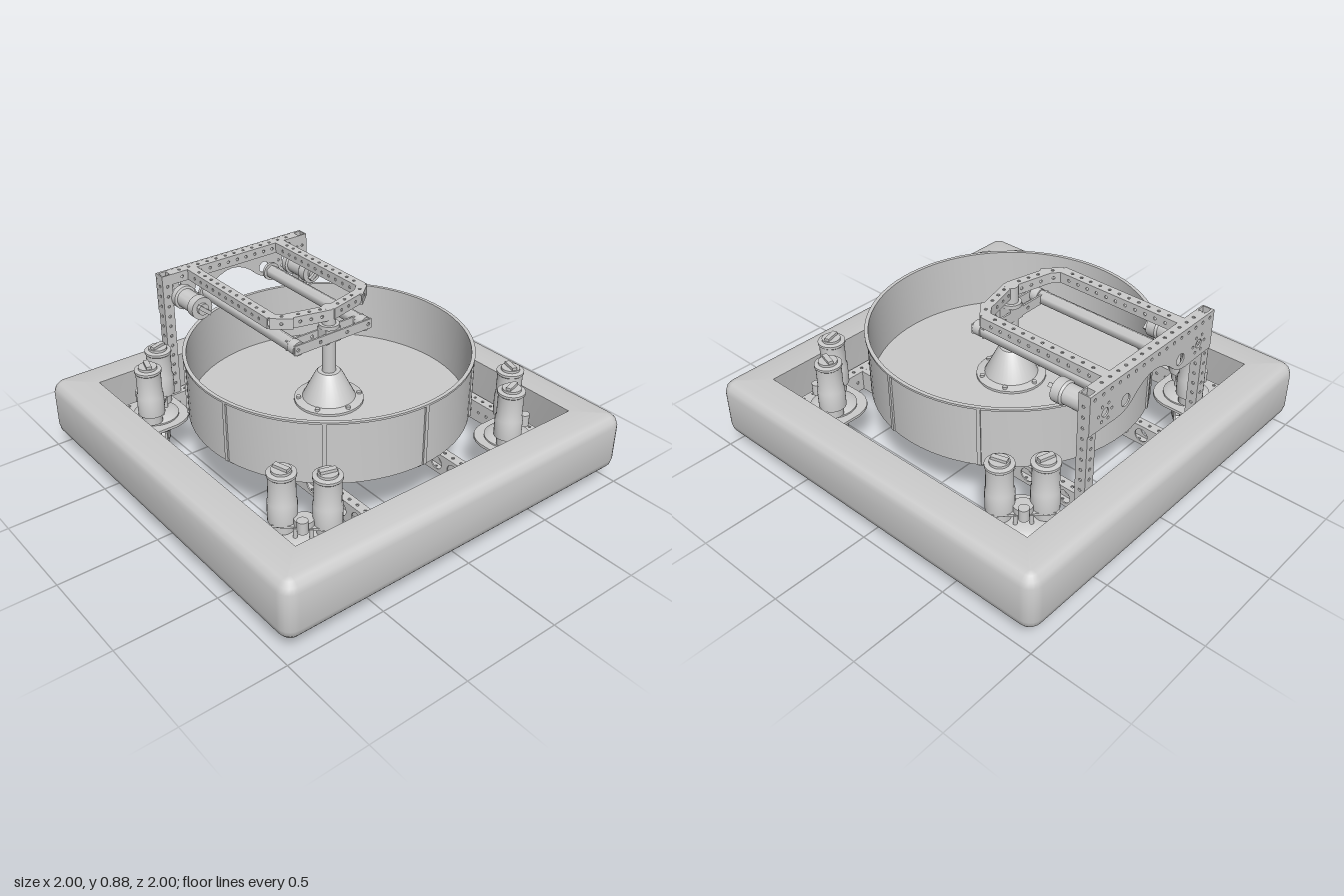
import * as THREE from 'three';
import { mergeGeometries, mergeVertices, toCreasedNormals } from 'three/addons/utils/BufferGeometryUtils.js';

const grey = new THREE.MeshStandardMaterial({ color: 0xcccccc, side: THREE.DoubleSide });
const V2 = (p) => new THREE.Vector2(p[0], p[1]);

function add(parent, name, geo, x = 0, y = 0, z = 0) {
  const m = new THREE.Mesh(geo, grey);
  m.name = name;
  m.position.set(x, y, z);
  parent.add(m);
  return m;
}
const box = (w, h, d) => new THREE.BoxGeometry(w, h, d);
const cyl = (r, h, n = 24, r2 = r) => new THREE.CylinderGeometry(r2, r, h, n);
const lathe = (pts, n = 28) => toCreasedNormals(new THREE.LatheGeometry(pts.map(V2), n), 0.6);

// Extrude a shape, centred on its thickness, with round holes [x, y, r]
function extrude(shape, t, holes = [], seg = 3) {
  for (const [x, y, r] of holes) {
    const p = new THREE.Path();
    p.absarc(x, y, r, 0, Math.PI * 2, true);
    shape.holes.push(p);
  }
  return new THREE.ExtrudeGeometry(shape, { depth: t, bevelEnabled: false, curveSegments: seg }).translate(0, 0, -t / 2);
}
function plate(w, h, t, holes = [], seg = 4) {
  const pts = [[-w / 2, -h / 2], [w / 2, -h / 2], [w / 2, h / 2], [-w / 2, h / 2]];
  return extrude(new THREE.Shape(pts.map(V2)), t, holes, seg);
}
function holeRow(len, r, pitch) {
  const n = Math.max(1, Math.floor((len - pitch * 0.6) / pitch));
  return Array.from({ length: n }, (_, i) => [(i - (n - 1) / 2) * pitch, 0, r]);
}
// Hollow punched tube along x
function tubeGeo(len, w, h, sideR = 0.008, sidePitch = 0.055) {
  const t = 0.007, parts = [];
  for (const s of [-1, 1]) {
    parts.push(plate(len, h, t, holeRow(len, sideR, sidePitch), sideR > 0.02 ? 10 : 4).translate(0, 0, s * (w - t) / 2));
    parts.push(plate(len, w, t, holeRow(len, 0.008, 0.055)).rotateX(Math.PI / 2).translate(0, s * (h - t) / 2, 0));
  }
  return mergeGeometries(parts);
}
// Level punched tube between two points in plan
function rail(parent, name, x1, z1, x2, z2, y, w, h, r, pitch) {
  const m = add(parent, name, tubeGeo(Math.hypot(x2 - x1, z2 - z1), w, h, r, pitch), (x1 + x2) / 2, y, (z1 + z2) / 2);
  m.rotation.y = -Math.atan2(z2 - z1, x2 - x1);
  return m;
}

// Bumper: rounded square rings swept through a cross-section
function bumperGeo() {
  const prof = [[0.815, 0.1], [0.95, 0.09], [0.975, 0.098], [0.993, 0.12], [1, 0.15],
    [1, 0.335], [0.99, 0.362], [0.97, 0.382], [0.945, 0.39], [0.815, 0.39]];
  const pos = [], idx = [], steps = 6, n = steps * 4;
  for (const [half, y] of prof) {
    const r = Math.max(0.003, half - 0.935);
    for (let c = 0; c < 4; c++) for (let i = 0; i < steps; i++) {
      const a = (c + i / (steps - 1)) * Math.PI / 2, k = c * Math.PI / 2 + Math.PI / 4;
      pos.push(Math.sign(Math.cos(k)) * (half - r) + r * Math.cos(a), y, Math.sign(Math.sin(k)) * (half - r) + r * Math.sin(a));
    }
  }
  for (let j = 0; j < prof.length; j++) for (let i = 0; i < n; i++) {
    const k = (j + 1) % prof.length, a = j * n + i, b = j * n + (i + 1) % n, c = k * n + i, d = k * n + (i + 1) % n;
    idx.push(a, c, b, b, c, d);
  }
  const g = new THREE.BufferGeometry();
  g.setAttribute('position', new THREE.Float32BufferAttribute(pos, 3));
  g.setIndex(idx);
  return toCreasedNormals(mergeVertices(g, 1e-5), 0.6);
}

// Steered drive module; local z points outward along the diagonal
function driveModule() {
  const g = new THREE.Group();
  const s = new THREE.Shape();
  s.moveTo(0.165, 0.165); s.lineTo(-0.155, 0.165); s.lineTo(-0.155, -0.03);
  s.quadraticCurveTo(-0.14, -0.14, -0.03, -0.155); s.lineTo(0.165, -0.155); s.closePath();
  const edge = [];
  for (let i = 0; i < 5; i++) {
    const v = -0.11 + i * 0.06;
    edge.push([0.145, v, 0.008]);
    if (i < 4) edge.push([v, 0.145, 0.008]);
  }
  const base = add(g, 'modulePlate', extrude(s, 0.014, edge, 5).rotateX(Math.PI / 2), 0, 0.22, 0);
  base.rotation.y = -Math.PI / 4;
  add(g, 'steeringTurret', lathe([[0, 0.17], [0.1, 0.17], [0.115, 0.185], [0.115, 0.235], [0.09, 0.25], [0, 0.25]]));
  add(g, 'upperGearPlate', box(0.27, 0.012, 0.1), 0, 0.3, 0);
  add(g, 'centreGear', cyl(0.045, 0.03, 20), 0, 0.32, 0.02);
  add(g, 'encoder', cyl(0.025, 0.06, 16), 0, 0.33, 0.07);
  for (const sx of [-1, 1]) {
    add(g, 'driveMotor', lathe([[0, 0.25], [0.05, 0.25], [0.05, 0.3], [0.066, 0.3], [0.066, 0.4], [0.061, 0.41],
      [0.061, 0.525], [0.066, 0.53], [0.066, 0.542], [0.045, 0.546], [0.045, 0.558], [0, 0.558]]), sx * 0.097, 0, -0.01);
    add(g, 'motorTerminal', box(0.075, 0.02, 0.025), sx * 0.097, 0.562, -0.01).rotation.y = sx * 0.5;
    for (const sz of [-1, 1]) add(g, 'standoff', cyl(0.01, 0.08, 10), sx * 0.035, 0.26, sz * 0.045);
    add(g, 'wheelFork', box(0.06, 0.12, 0.01), 0, 0.135, sx * 0.052);
  }
  // Wheel: tyre, spoked discs and tread lugs, axle along local z
  const w = new THREE.Group();
  w.name = 'wheel';
  w.position.y = 0.105;
  g.add(w);
  add(w, 'tyre', lathe([[0.075, -0.04], [0.092, -0.04], [0.098, -0.03], [0.098, 0.03], [0.092, 0.04], [0.075, 0.04], [0.075, -0.04]], 32).rotateX(Math.PI / 2));
  const spokes = Array.from({ length: 6 }, (_, i) => [0.05 * Math.cos(i * Math.PI / 3), 0.05 * Math.sin(i * Math.PI / 3), 0.019]);
  const disc = new THREE.Shape();
  disc.absarc(0, 0, 0.077, 0, Math.PI * 2);
  add(w, 'spokes', extrude(disc, 0.03, spokes, 12));
  add(w, 'axle', cyl(0.02, 0.12, 16).rotateX(Math.PI / 2));
  const lugs = [];
  for (let i = 0; i < 40; i++) lugs.push(box(0.009, 0.014, 0.034).translate(0, 0.098, i % 2 ? 0.02 : -0.02).rotateZ(i * Math.PI / 20));
  add(w, 'tread', mergeGeometries(lugs));
  return g;
}

function buildArm(root) {
  const arm = new THREE.Group();
  arm.name = 'overheadArm';
  root.add(arm);
  // Rear uprights, header beam and arched motor plate
  for (const s of [-1, 1]) {
    const up = add(arm, 'upright', tubeGeo(0.67, 0.055, 0.055), s * 0.417, 0.545, -0.785);
    up.rotation.z = Math.PI / 2;
    rail(arm, 'upperRail', s * 0.27, -0.76, s * 0.27, -0.08, 0.852, 0.055, 0.055);
    rail(arm, 'noseRail', s * 0.275, -0.09, s * 0.19, -0.02, 0.852, 0.05, 0.055);
    rail(arm, 'noseRail', s * 0.21, -0.04, 0, 0.012, 0.852, 0.05, 0.055);
    // Lower tubes, rear motors and end brackets
    add(arm, 'lowerTube', cyl(0.036, 0.74, 6).rotateX(Math.PI / 2), s * 0.2, 0.735, -0.385);
    add(arm, 'tubeFlange', cyl(0.048, 0.015, 20).rotateX(Math.PI / 2), s * 0.2, 0.735, -0.745);
    add(arm, 'armMotor', lathe([[0, 0], [0.03, 0], [0.03, 0.015], [0.058, 0.015], [0.058, 0.06], [0.05, 0.07], [0.05, 0.165],
      [0.062, 0.17], [0.062, 0.2], [0, 0.2]]).rotateX(-Math.PI / 2), s * 0.34, 0.75, -0.555);
    add(arm, 'motorTerminal', box(0.08, 0.02, 0.02), s * 0.34, 0.75, -0.55).rotation.z = s * 0.7;
    add(arm, 'tubeEnd', cyl(0.036, 0.045, 20).rotateX(Math.PI / 2), s * 0.2, 0.735, 0.01);
  }
  rail(arm, 'headerBeam', -0.39, -0.785, 0.39, -0.785, 0.852, 0.055, 0.055);
  const s = new THREE.Shape();
  s.moveTo(-0.445, 0.88); s.lineTo(-0.445, 0.68); s.lineTo(-0.3, 0.675);
  s.quadraticCurveTo(-0.2, 0.665, -0.15, 0.71); s.quadraticCurveTo(0, 0.86, 0.15, 0.71);
  s.quadraticCurveTo(0.2, 0.665, 0.3, 0.675); s.lineTo(0.445, 0.68); s.lineTo(0.445, 0.88); s.closePath();
  const holes = [];
  for (const k of [-1, 1]) {
    holes.push([k * 0.34, 0.75, 0.022], [k * 0.2, 0.735, 0.03]);
    for (let i = 0; i < 6; i++) holes.push([k * 0.34 + 0.044 * Math.cos(i * 1.0472), 0.75 + 0.044 * Math.sin(i * 1.0472), 0.007]);
  }
  for (let i = 0; i < 16; i++) holes.push([-0.4125 + i * 0.055, 0.852, 0.008]);
  add(arm, 'motorPlate', extrude(s, 0.008, holes, 8), 0, 0, -0.815);
  const bar = [[-0.21, 0, 0.009], [-0.08, 0, 0.009], [0.08, 0, 0.009], [0.21, 0, 0.009]];
  for (const z of [-0.03, 0.035]) add(arm, 'lowerCrossbar', plate(0.46, 0.05, 0.01, bar), 0, 0.735, z);
  add(arm, 'bearingBlock', box(0.09, 0.075, 0.07), 0, 0.74, 0);
  add(arm, 'bearing', cyl(0.05, 0.02, 20), 0, 0.785, 0);
}

export function createModel() {
  const root = new THREE.Group();
  root.name = 'robotBase';
  add(root, 'bumper', bumperGeo());

  // Chassis rails and bumper brackets
  for (const s of [-1, 1]) {
    rail(root, 'sideRail', s * 0.773, -0.8, s * 0.773, 0.8, 0.155, 0.055, 0.11);
    rail(root, 'endRail', -0.745, s * 0.773, 0.745, s * 0.773, 0.155, 0.055, 0.11);
    rail(root, 'crossRail', s * 0.295, -0.745, s * 0.295, 0.745, 0.155, 0.055, 0.11, 0.036, 0.11);
    add(root, 'sideBracket', box(0.09, 0.015, 0.24), s * 0.773, 0.219, 0);
    add(root, 'endBracket', box(0.24, 0.015, 0.09), 0, 0.219, s * 0.773);
    add(root, 'lowerBracket', box(0.1, 0.012, 0.06), 0, 0.094, s * 0.773);
  }

  // Corner drive modules
  for (let k = 0; k < 4; k++) {
    const m = driveModule(), a = Math.PI / 4 + k * Math.PI / 2;
    m.name = 'driveModule';
    m.rotation.y = a;
    m.position.set(Math.sign(Math.sin(a)) * 0.62, 0, Math.sign(Math.cos(a)) * 0.62);
    root.add(m);
  }

  // Drum with seam strips and underside ribs
  add(root, 'drum', lathe([[0, 0.36], [0.682, 0.36], [0.682, 0.668], [0.692, 0.67], [0.692, 0.68], [0.674, 0.68], [0.674, 0.38], [0, 0.38]], 72));
  for (let i = 0; i < 9; i++) {
    const a = i * Math.PI * 2 / 9;
    add(root, 'drumSeam', box(0.018, 0.31, 0.012), 0.684 * Math.sin(a), 0.52, 0.684 * Math.cos(a)).rotation.y = a;
    add(root, 'floorRib', box(0.02, 0.025, 0.56), 0.38 * Math.sin(a), 0.35, 0.38 * Math.cos(a)).rotation.y = a;
  }

  // Hub cone, bolts and central shaft
  add(root, 'hubCone', lathe([[0.17, 0.38], [0.17, 0.392], [0.13, 0.4], [0.065, 0.53], [0.055, 0.54], [0, 0.54]], 32));
  for (let i = 0; i < 6; i++) add(root, 'hubBolt', cyl(0.012, 0.014, 8), 0.148 * Math.sin(i * Math.PI / 3), 0.4, 0.148 * Math.cos(i * Math.PI / 3));
  add(root, 'centralShaft', cyl(0.034, 0.67, 20), 0, 0.545, 0);

  // Drum drive under the floor
  add(root, 'turntable', cyl(0.17, 0.03, 32), 0, 0.335, 0);
  add(root, 'gearboxPlate', plate(0.54, 0.3, 0.015, [[-0.2, 0, 0.04], [0.2, 0, 0.04]], 10).rotateX(Math.PI / 2), 0, 0.22, 0);
  for (const [x, z] of [[-0.08, 0.06], [0.09, -0.05]]) {
    add(root, 'drumMotor', lathe([[0, 0.11], [0.045, 0.11], [0.045, 0.13], [0.06, 0.13], [0.06, 0.29], [0.045, 0.3], [0.045, 0.33], [0, 0.33]]), x, 0, z);
  }
  for (const x of [-0.295, 0.295]) for (const z of [-0.3, 0.3]) add(root, 'drumSupport', cyl(0.02, 0.15, 12), x, 0.285, z);

  buildArm(root);
  return root;
}
